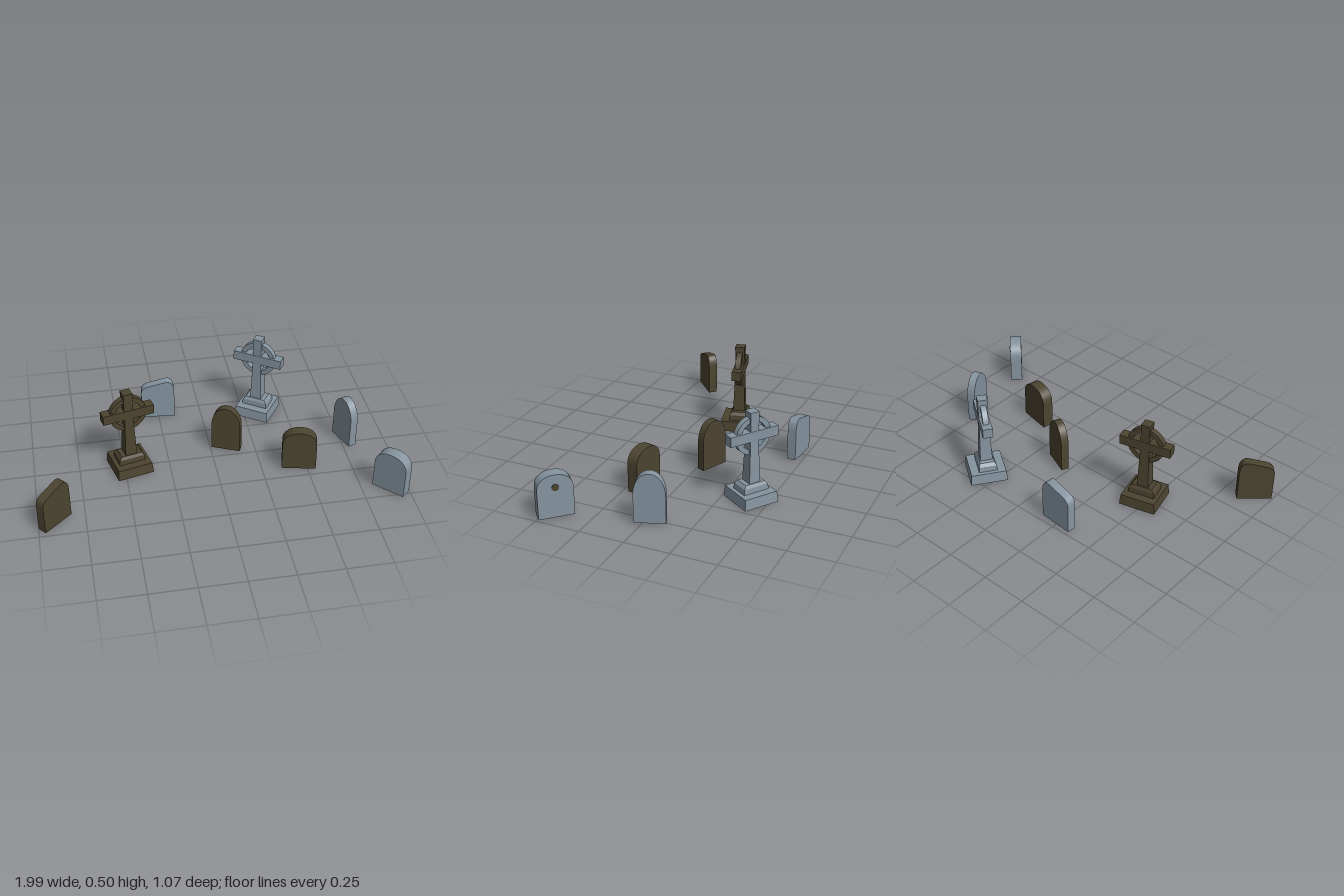
import * as THREE from 'three';
import { toCreasedNormals } from 'three/addons/utils/BufferGeometryUtils.js';

const paleStone = new THREE.MeshStandardMaterial({ color: 0x85949f, side: THREE.DoubleSide });
paleStone.name = 'paleStone';
const mossyStone = new THREE.MeshStandardMaterial({ color: 0x4c4430, side: THREE.DoubleSide });
mossyStone.name = 'mossyStone';

function addMesh(parent, name, geometry, material) {
  const mesh = new THREE.Mesh(geometry, material);
  mesh.name = name;
  parent.add(mesh);
  return mesh;
}

// Square tapering block, open underneath; profile is [half width, height] pairs
function block(profile, depthRatio = 1) {
  const points = profile.map(([r, y]) => new THREE.Vector2(r * Math.SQRT2, y));
  points.push(new THREE.Vector2(0, points[points.length - 1].y));
  let g = new THREE.LatheGeometry(points, 4);
  g.rotateY(Math.PI / 4);
  g.scale(1, 1, depthRatio);
  g = g.toNonIndexed();
  g.computeVertexNormals();
  return g;
}

// Ringed cross on a stepped plinth
function ringedCross(name, material, x, z, turn) {
  const cross = new THREE.Group();
  cross.name = name;
  addMesh(cross, 'plinth', block([[0.103, 0], [0.097, 0.06]]), material);
  addMesh(cross, 'step', block([[0.0755, 0.06], [0.072, 0.09], [0.058, 0.107]], 0.68), material);
  addMesh(cross, 'shaft', block([[0.033, 0.1], [0.024, 0.36], [0.026, 0.503]], 1.05), material);
  addMesh(cross, 'arms', new THREE.BoxGeometry(0.29, 0.055, 0.055), material).position.y = 0.369;

  const ringShape = new THREE.Shape().absarc(0, 0, 0.105, 0, Math.PI * 2);
  ringShape.holes.push(new THREE.Path().absarc(0, 0, 0.077, 0, Math.PI * 2, true));
  const ring = new THREE.ExtrudeGeometry(ringShape, { depth: 0.032, bevelEnabled: false, curveSegments: 20 });
  ring.translate(0, 0.369, -0.016);
  addMesh(cross, 'ring', toCreasedNormals(ring, 0.6), material);

  cross.position.set(x, 0, z);
  cross.rotation.y = turn;
  return cross;
}

const BASE = 0.006;

// Rounded headstone outline: straight sides below a full arch
function archShape(width, height, shoulder, power) {
  const shape = new THREE.Shape();
  const half = width / 2;
  shape.moveTo(-half, BASE);
  shape.lineTo(half, BASE);
  for (let i = 0; i <= 20; i++) {
    const a = (i / 20) * Math.PI;
    const c = Math.cos(a);
    const s = Math.max(0, Math.sin(a));
    shape.lineTo(
      half * Math.sign(c) * Math.pow(Math.abs(c), 2 / power),
      shoulder + (height - shoulder) * Math.pow(s, 2 / power)
    );
  }
  shape.closePath();
  return shape;
}

// Worn headstone outline with a sloping top
function slopedShape(width, height) {
  const half = width / 2;
  const shape = new THREE.Shape();
  shape.moveTo(-half, BASE);
  shape.lineTo(half, BASE);
  shape.lineTo(half, height - 0.065);
  shape.quadraticCurveTo(half - 0.003, height - 0.004, half - 0.042, height);
  shape.lineTo(-half + 0.04, height - 0.028);
  shape.quadraticCurveTo(-half + 0.003, height - 0.04, -half, height - 0.07);
  shape.closePath();
  return shape;
}

function headstone(name, material, shape, depth, x, z, turn) {
  const g = new THREE.ExtrudeGeometry(shape, { depth, bevelEnabled: false, curveSegments: 8 });
  g.translate(0, 0, -depth / 2);
  const stone = new THREE.Group();
  stone.name = name;
  addMesh(stone, 'slab', toCreasedNormals(g, 0.7), material);
  stone.position.set(x, 0, z);
  stone.rotation.y = turn;
  return stone;
}

export function createModel() {
  const model = new THREE.Group();
  model.name = 'graveyard';

  model.add(
    ringedCross('mossyCross', mossyStone, -0.47, 0, 0.24),
    ringedCross('paleCross', paleStone, 0.34, -0.4, -0.6),
    headstone('mossySlopedHeadstone', mossyStone, slopedShape(0.19, 0.247), 0.05, -0.91, 0.4, 0.73),
    headstone('paleSlopedHeadstone', paleStone, slopedShape(0.193, 0.247), 0.05, -0.25, -0.45, -0.08),
    headstone('mossyTallHeadstone', mossyStone, archShape(0.165, 0.283, 0.16, 2.1), 0.043, 0.09, -0.067, -0.42),
    headstone('paleTallHeadstone', paleStone, archShape(0.165, 0.283, 0.16, 2.1), 0.046, 0.773, -0.032, -1.228),
    headstone('mossyRoundHeadstone', mossyStone, archShape(0.19, 0.246, 0.165, 2.2), 0.063, 0.457, 0.163, -0.22)
  );

  // Pale headstone with a round mossy spot on its back
  const spotted = headstone('paleRoundHeadstone', paleStone, archShape(0.188, 0.246, 0.165, 2.2), 0.068, 0.905, 0.44, -0.8);
  const spot = new THREE.CylinderGeometry(0.019, 0.019, 0.006, 10);
  spot.rotateX(Math.PI / 2);
  addMesh(spotted, 'mossSpot', spot, mossyStone).position.set(0, 0.175, -0.035);
  model.add(spotted);

  return model;
}
